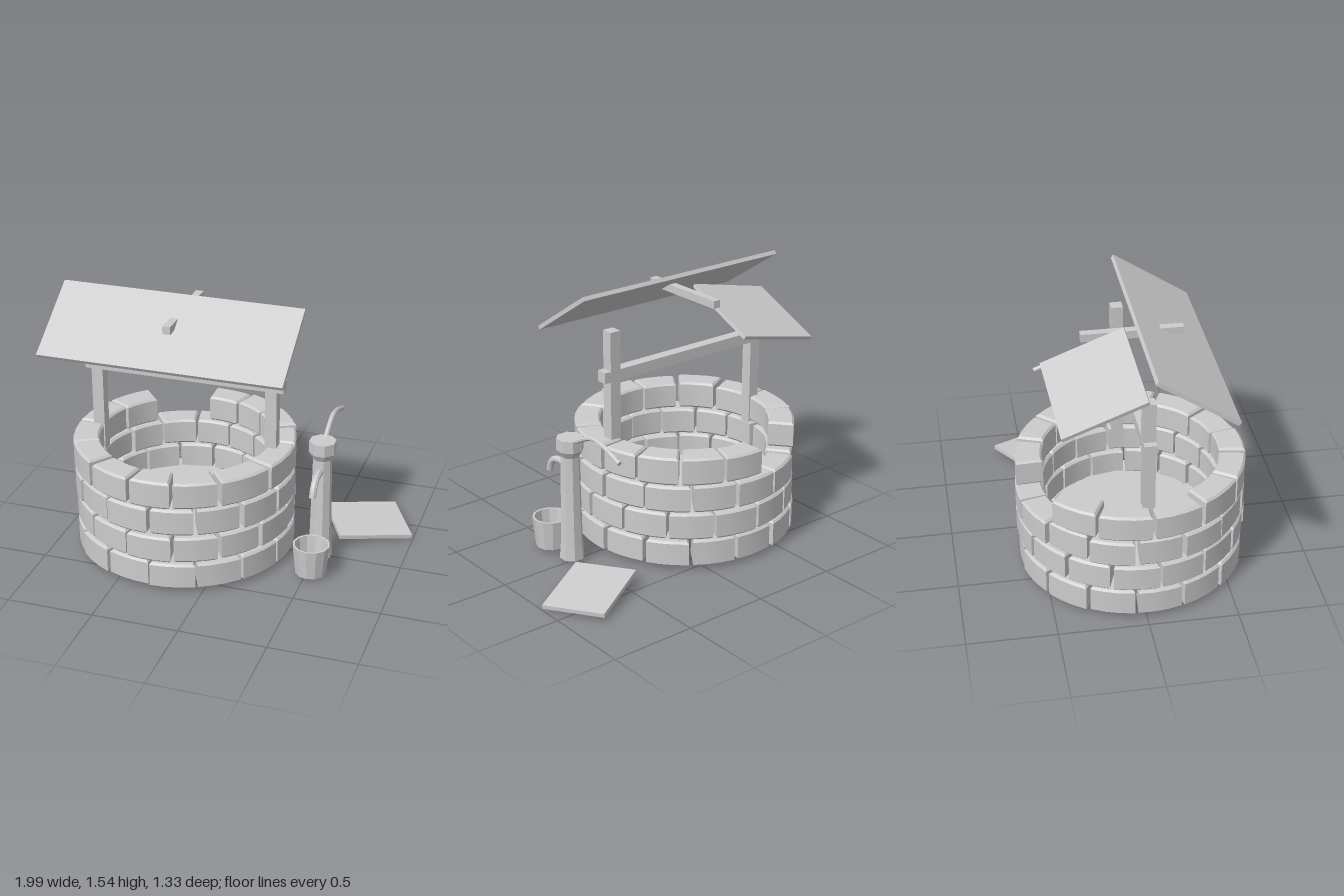
import * as THREE from 'three';
import { toCreasedNormals } from 'three/addons/utils/BufferGeometryUtils.js';

const stone = new THREE.MeshStandardMaterial({ color: 0xcccccc });
stone.name = 'light grey';
const sheet = new THREE.MeshStandardMaterial({ color: 0xcccccc, side: THREE.DoubleSide });
sheet.name = 'light grey';

const WELL_X = -0.295, WELL_Z = 0.01;

let seed = 7;
const jitter = (a) => {
  seed = (seed * 16807) % 2147483647;
  return (seed / 2147483647 - 0.5) * 2 * a;
};

function add(parent, name, geometry, x = 0, y = 0, z = 0, material = stone) {
  const mesh = new THREE.Mesh(geometry, material);
  mesh.name = name;
  mesh.position.set(x, y, z);
  parent.add(mesh);
  return mesh;
}

const box = (w, h, d) => new THREE.BoxGeometry(w, h, d);

// Wedge brick between two angles (0 = front, growing toward +x), edges bevelled
function brickGeometry(a0, a1, inner, outer, height) {
  const bevel = 0.012, steps = 3, pts = [];
  const at = (r, a) => new THREE.Vector2(r * Math.sin(a), -r * Math.cos(a));
  for (let i = 0; i <= steps; i++) pts.push(at(outer, a0 + ((a1 - a0) * i) / steps));
  for (let i = steps; i >= 0; i--) pts.push(at(inner, a0 + ((a1 - a0) * i) / steps));
  const geo = new THREE.ExtrudeGeometry(new THREE.Shape(pts), {
    depth: height - 2 * bevel, bevelEnabled: true, bevelThickness: bevel,
    bevelSize: bevel, bevelOffset: -bevel, bevelSegments: 1,
  });
  geo.translate(0, 0, bevel);
  geo.rotateX(-Math.PI / 2);
  return toCreasedNormals(geo, 0.5);
}

// Faceted turned shape from [radius, height] pairs
function turned(profile, sides) {
  const pts = profile.map(([r, y]) => new THREE.Vector2(r, y));
  return toCreasedNormals(new THREE.LatheGeometry(pts, sides), 0.4);
}

// Capped pipe along [z, y] points in the plane x = 0
function pipe(points, radius) {
  const path = new THREE.CatmullRomCurve3(points.map(([z, y]) => new THREE.Vector3(0, y, z)));
  const ring = new THREE.Shape();
  for (let i = 0; i < 8; i++) {
    const a = ((i + 0.5) * Math.PI) / 4;
    const p = [radius * Math.cos(a), radius * Math.sin(a)];
    if (i === 0) ring.moveTo(...p); else ring.lineTo(...p);
  }
  const geo = new THREE.ExtrudeGeometry(ring, { steps: 10, extrudePath: path, bevelEnabled: false });
  return toCreasedNormals(geo, 0.6);
}

// Flat board whose local x and z run along the given directions
function board(parent, name, size, centre, xDir, zDir) {
  const x = new THREE.Vector3(...xDir).normalize();
  const z = new THREE.Vector3(...zDir).normalize();
  const y = z.clone().cross(x).normalize();
  z.crossVectors(x, y);
  const mesh = add(parent, name, box(...size), ...centre);
  mesh.quaternion.setFromRotationMatrix(new THREE.Matrix4().makeBasis(x, y, z));
}

function buildWall() {
  const wall = new THREE.Group();
  wall.name = 'wellWall';
  wall.position.set(WELL_X, 0, WELL_Z);
  const even = (start) => Array.from({ length: 16 }, (_, i) => start + i * 24);
  // The top course has a gap at the back
  const top = [-141, -115, -88, -62, -35.5, -10, 12, 36, 66, 95, 116, 138, 161, 183];
  [even(0), even(12), even(0), top].forEach((edges, row) => {
    for (let i = 0; i + 1 < edges.length; i++) {
      const gap = 0.9 + jitter(0.4);
      const rad = THREE.MathUtils.degToRad;
      const shift = jitter(0.008);
      const geo = brickGeometry(rad(edges[i] + gap), rad(edges[i + 1] - gap),
        0.492 + shift, 0.642 + shift, 0.158 + jitter(0.005));
      add(wall, 'brick', geo, 0, 0.021 + row * 0.168, 0);
    }
  });
  // Floor disc inside the ring
  const disc = new THREE.CircleGeometry(0.47, 16);
  disc.rotateX(-Math.PI / 2);
  add(wall, 'wellFloor', disc, 0, 0.22, 0, sheet);
  return wall;
}

function buildRoof() {
  const roof = new THREE.Group();
  roof.name = 'roofFrame';
  for (const side of [-1, 1]) {
    add(roof, side < 0 ? 'rightPost' : 'leftPost', box(0.068, 0.92, 0.068), WELL_X + side * 0.522, 0.86, 0.018);
  }
  add(roof, 'crossbar', box(1.19, 0.065, 0.066), WELL_X, 1.06, 0.018);
  add(roof, 'ridgeBeam', box(0.045, 0.045, 0.56), WELL_X, 1.433, 0.018);
  board(roof, 'frontRoofPanel', [1.41, 0.024, 0.515], [WELL_X, 1.395, 0.24], [1, 0, 0], [0, -0.283, 0.434]);
  // Loose back panel, slipped and tilted to one side
  board(roof, 'backRoofPanel', [0.567, 0.022, 0.488], [-0.592, 1.318, -0.234],
    [0.55, 0.135, -0.04], [0, 0.19, 0.45]);
  return roof;
}

function buildPump() {
  const pump = new THREE.Group();
  pump.name = 'pump';
  pump.position.set(0.525, 0, 0.018);
  const column = turned([[0, 0.02], [0.072, 0.02], [0.064, 0.12], [0.054, 0.65],
    [0.078, 0.69], [0.078, 0.76], [0, 0.76]], 8);
  column.rotateY(Math.PI / 8);
  add(pump, 'pumpColumn', column);
  add(pump, 'pumpHandle', pipe([[-0.05, 0.745], [-0.13, 0.79], [-0.21, 0.82], [-0.3, 0.81], [-0.45, 0.757]], 0.014));
  add(pump, 'pumpSpout', pipe([[0.02, 0.578], [0.09, 0.587], [0.15, 0.575], [0.185, 0.54], [0.2, 0.495]], 0.02));
  return pump;
}

export function createModel() {
  const model = new THREE.Group();
  model.name = 'well';
  model.add(buildWall(), buildRoof(), buildPump());

  // Open bucket under the spout
  add(model, 'bucket', turned([[0, 0.02], [0.09, 0.02], [0.108, 0.2], [0.095, 0.2],
    [0.078, 0.04], [0, 0.04]], 12), 0.525, 0, 0.22);

  // Fallen roof panel on the ground
  board(model, 'fallenPanel', [0.443, 0.024, 0.367], [0.711, 0.05, -0.4],
    [0.385, -0.045, -0.215], [0.178, -0.025, 0.32]);
  return model;
}
